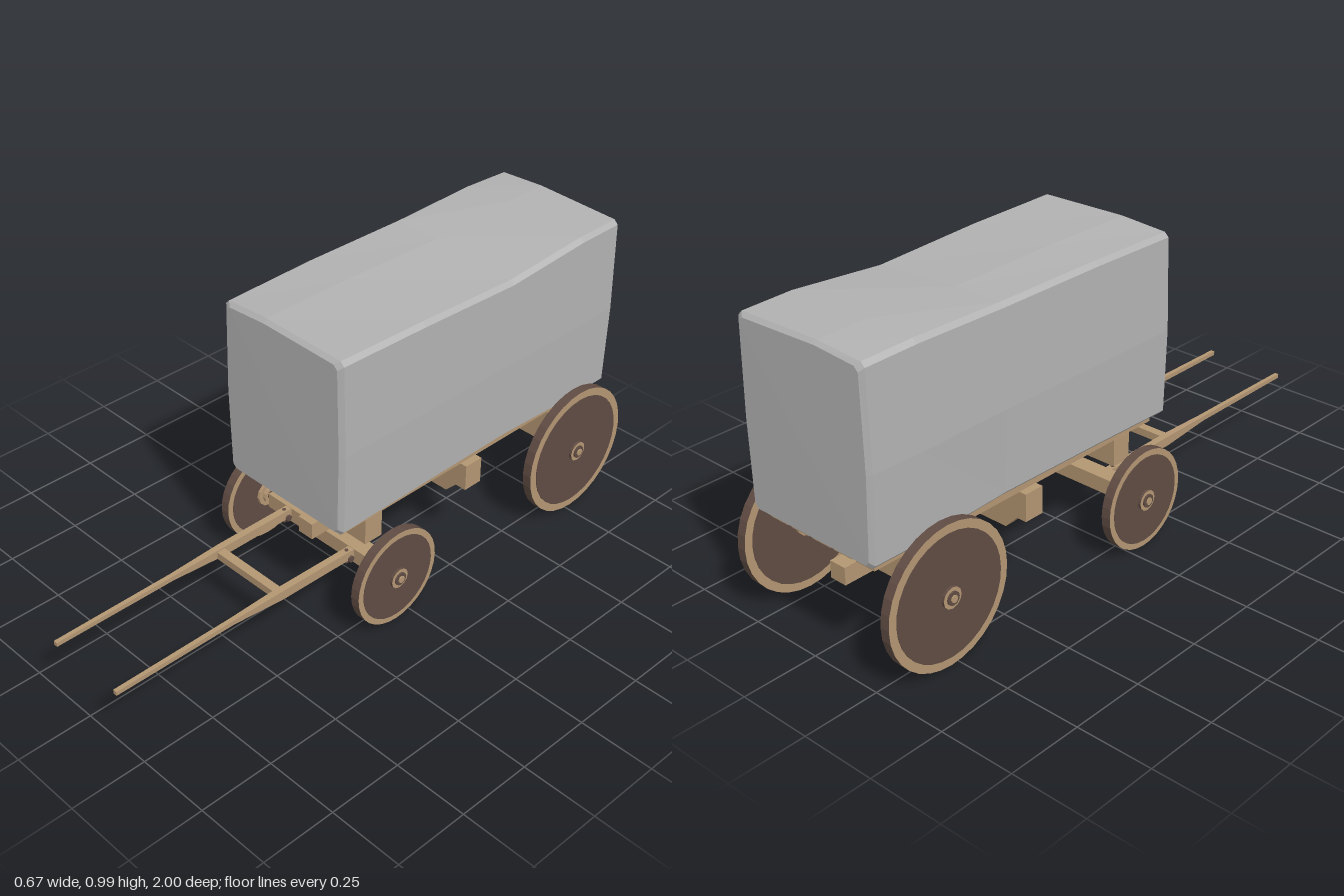
import * as THREE from 'three';

const wood = new THREE.MeshStandardMaterial({ color: 0xb39672 });
wood.name = 'pale wood';
const dark = new THREE.MeshStandardMaterial({ color: 0x604c43 });
dark.name = 'dark wood';
const cloth = new THREE.MeshStandardMaterial({ color: 0xb1b1b1 });
cloth.name = 'grey cargo';

export function createModel() {
  const model = new THREE.Group();
  model.name = 'cart';

  // Facets every geometry so that edges stay sharp
  function add(parent, name, geometry, material) {
    const g = geometry.index ? geometry.toNonIndexed() : geometry;
    g.computeVertexNormals();
    const mesh = new THREE.Mesh(g, material);
    mesh.name = name;
    parent.add(mesh);
    return mesh;
  }

  // Box given by its limits on each axis
  function box(name, x0, x1, y0, y1, z0, z1) {
    const g = new THREE.BoxGeometry(x1 - x0, y1 - y0, z1 - z0);
    g.translate((x0 + x1) / 2, (y0 + y1) / 2, (z0 + z1) / 2);
    return add(model, name, g, wood);
  }

  // Cylinder lying along x between two limits
  function rod(parent, name, r, x0, x1, material, sides = 12) {
    const g = new THREE.CylinderGeometry(r, r, x1 - x0, sides);
    g.rotateZ(-Math.PI / 2);
    g.translate((x0 + x1) / 2, 0, 0);
    return add(parent, name, g, material);
  }

  // Wheels: dark tread and disc, pale rim faces, stepped hub
  const rimmed = [dark, wood, wood];
  function wheel(name, side, y, z, r) {
    const w = new THREE.Group();
    w.name = name;
    rod(w, 'rim', r, -0.016, 0.016, rimmed, 32);
    rod(w, 'disc', r * 0.88, -0.018, 0.018, dark, 32);
    rod(w, 'innerHub', 0.043, -0.028, -0.016, wood);
    rod(w, 'innerCollar', 0.028, -0.04, -0.028, wood);
    rod(w, 'outerHub', 0.034, 0.016, 0.027, rimmed);
    rod(w, 'hubCap', 0.022, 0.027, 0.032, dark);
    rod(w, 'axleEnd', 0.012, 0.032, 0.036, wood, 8);
    w.position.set(side * 0.297, y, z);
    if (side < 0) w.rotation.y = Math.PI;
    model.add(w);
  }
  for (const side of [-1, 1]) {
    wheel('frontWheel', side, 0.165, 0.06, 0.165);
    wheel('rearWheel', side, 0.225, -0.775, 0.225);
  }
  rod(model, 'frontAxle', 0.016, -0.3, 0.3, dark).position.set(0, 0.168, 0.06);
  rod(model, 'rearAxle', 0.016, -0.3, 0.3, dark).position.set(0, 0.225, -0.775);

  // Undercarriage
  box('frontAxleBeam', -0.237, 0.237, 0.145, 0.197, 0.03, 0.09);
  box('rearAxleBeam', -0.258, 0.258, 0.222, 0.257, -0.81, -0.74);
  box('frontBolster', -0.213, 0.213, 0.255, 0.346, 0.03, 0.1);
  box('rearBolster', -0.213, 0.213, 0.255, 0.346, -0.81, -0.74);
  box('middleBolster', -0.237, 0.237, 0.255, 0.346, -0.39, -0.32);
  box('reachPole', -0.03, 0.03, 0.197, 0.254, -0.9, 0.15);

  // Brace with sloping ends below the middle bolster
  const brace = new THREE.Shape([[-0.2, 0.256], [-0.14, 0.195], [0.14, 0.195], [0.2, 0.256]]
    .map(([x, y]) => new THREE.Vector2(x, y)));
  add(model, 'middleBrace', new THREE.ExtrudeGeometry(brace, { depth: 0.035, bevelEnabled: false }), wood)
    .position.z = -0.373;

  // Five long bed planks
  for (let i = -2; i <= 2; i++) {
    box('bedPlank', i * 0.088 - 0.036, i * 0.088 + 0.036, 0.345, 0.375, -0.95, 0.2);
  }

  // Tapered shafts: z, centre x, centre y, half width, half height
  const stations = [
    [0.09, 0.142, 0.18, 0.012, 0.016], [0.38, 0.14, 0.182, 0.012, 0.016],
    [0.57, 0.139, 0.187, 0.008, 0.008], [1.0, 0.139, 0.187, 0.007, 0.007],
  ];
  for (const side of [-1, 1]) {
    const g = new THREE.BoxGeometry(2, 2, 3, 1, 1, 3);
    const p = g.attributes.position;
    for (let i = 0; i < p.count; i++) {
      const [z, x, y, hw, hh] = stations[Math.round(p.getZ(i) + 1.5)];
      p.setXYZ(i, side * x + p.getX(i) * hw, y + p.getY(i) * hh, z);
    }
    add(model, 'shaft', g, wood);
    // Shaft pivot pin with a bolt through it
    rod(model, 'shaftPin', 0.011, -0.019, 0.019, dark, 8).position.set(side * 0.142, 0.168, 0.105);
    add(model, 'shaftBolt', new THREE.CylinderGeometry(0.006, 0.006, 0.05, 8), dark)
      .position.set(side * 0.142, 0.174, 0.11);
  }
  box('shaftCrossbar', -0.132, 0.132, 0.167, 0.193, 0.37, 0.4);

  // Cargo: uneven chamfered block. z, half width, bottom, top left, top middle, top right
  const sections = [
    [0.235, 0.232, 0.382, 0.958, 0.968, 0.962],
    [0.222, 0.247, 0.372, 0.97, 0.98, 0.974],
    [-0.1, 0.249, 0.381, 0.976, 0.981, 0.968],
    [-0.48, 0.247, 0.385, 0.974, 0.972, 0.952],
    [-0.8, 0.249, 0.374, 0.98, 0.985, 0.976],
    [-0.973, 0.245, 0.372, 0.974, 0.983, 0.974],
    [-0.985, 0.232, 0.382, 0.962, 0.972, 0.962],
  ];
  const c = 0.014;
  const rings = sections.map(([z, w, b, tl, tm, tr]) => [
    [-w + c, b], [w - c, b], [w, b + c], [w + 0.006, 0.66], [w, tr - c], [w - c, tr],
    [-0.07, tm], [-w + c, tl], [-w, tl - c], [-w - 0.008, 0.66], [-w, b + c],
  ].map(([x, y]) => [x, y, z]));
  const n = rings[0].length, last = rings.length - 1, verts = [];
  for (let j = 0; j < n; j++) {
    const k = (j + 1) % n;
    for (let i = 0; i < last; i++) {
      const A = rings[i][j], B = rings[i][k], C = rings[i + 1][k], D = rings[i + 1][j];
      verts.push(...A, ...D, ...B, ...B, ...D, ...C);
    }
    verts.push(0, 0.66, 0.237, ...rings[0][j], ...rings[0][k]);
    verts.push(0, 0.66, -0.988, ...rings[last][k], ...rings[last][j]);
  }
  const cargo = new THREE.BufferGeometry();
  cargo.setAttribute('position', new THREE.Float32BufferAttribute(verts, 3));
  add(model, 'cargoCover', cargo, cloth);

  return model;
}
